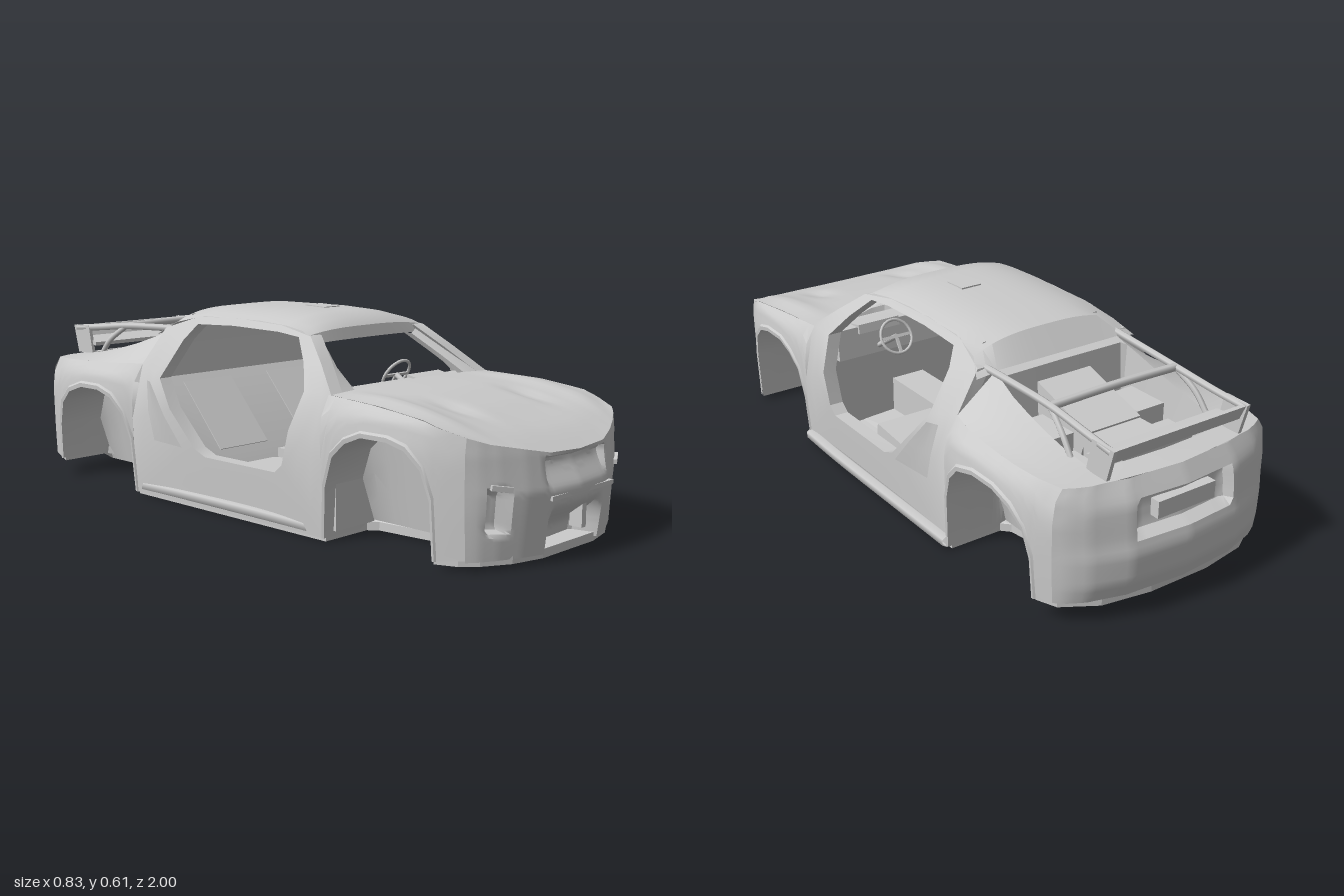
import * as THREE from 'three';
import { toCreasedNormals } from 'three/addons/utils/BufferGeometryUtils.js';

const mat = new THREE.MeshStandardMaterial({ color: 0xcccccc, side: THREE.DoubleSide });
const { lerp, smoothstep } = THREE.MathUtils;

// Linear interpolation in a small table of [key, value] with rising keys
function table(pts, k) {
  if (k <= pts[0][0]) return pts[0][1];
  for (let i = 1; i < pts.length; i++) {
    const [a, va] = pts[i - 1], [b, vb] = pts[i];
    if (k <= b) return lerp(va, vb, (k - a) / (b - a));
  }
  return pts[pts.length - 1][1];
}

// Body rules: half width by z and y, shoulder height by z
const WIDTH = [[-0.88, 0.375], [-0.8, 0.4], [-0.7, 0.414], [-0.5, 0.414], [-0.4, 0.39], [0.4, 0.388], [0.6, 0.4], [0.75, 0.39], [0.8, 0.375], [0.87, 0.345]];
const TUCK = [[0, 0.97], [0.15, 0.99], [0.3, 1], [0.37, 0.975], [0.41, 0.9], [0.56, 0.63], [0.6, 0.56]];
const SHOULDER = [[-0.88, 0.4], [-0.6, 0.41], [-0.42, 0.42], [0.4, 0.41], [0.6, 0.402], [0.75, 0.385], [0.87, 0.35]];
const side = (z, y) => table(WIDTH, z) * table(TUCK, y);
const shoulder = z => table(SHOULDER, z);

// Surface from a rule giving a point for each column i and row j
function grid(nu, nv, fn) {
  const g = new THREE.PlaneGeometry(1, 1, nu, nv), p = g.attributes.position;
  for (let k = 0; k < p.count; k++) p.setXYZ(k, ...fn(k % (nu + 1), Math.floor(k / (nu + 1))));
  return toCreasedNormals(g, 0.55);
}

// Side surface between two matched lines of [z, y]
const strip = (a, b, n, xf = side) => grid(a.length - 1, n, (i, j) => {
  const z = lerp(a[i][0], b[i][0], j / n), y = lerp(a[i][1], b[i][1], j / n);
  return [xf(z, y, j / n), y, z];
});

// Closed frame with thickness between an outer and an inner loop of [z, y]
function ring(outer, inner, depth) {
  const rows = [[0, 0], [0.33, 0], [0.67, 0], [1, 0], [1, depth], [0.5, depth], [0, depth], [0, 0]];
  return grid(outer.length, rows.length - 1, (i, j) => {
    const a = outer[i % outer.length], b = inner[i % inner.length], [s, d] = rows[j];
    const z = lerp(a[0], b[0], s), y = lerp(a[1], b[1], s);
    return [side(z, y) - d, y, z];
  });
}

// Wheel arch lines, front and rear, with the shoulder points above them
const ARCH_F = [[0.79, 0.02], [0.785, 0.18], [0.76, 0.26], [0.71, 0.305], [0.65, 0.32], [0.56, 0.32], [0.5, 0.295], [0.45, 0.25], [0.42, 0.16], [0.41, 0.01]];
const ARCH_R = [[-0.42, 0.01], [-0.43, 0.18], [-0.46, 0.26], [-0.51, 0.31], [-0.58, 0.328], [-0.67, 0.328], [-0.74, 0.305], [-0.79, 0.26], [-0.815, 0.18], [-0.82, 0.06]];
const above = zs => zs.map(z => [z, shoulder(z)]);

// Nose and tail: z by fraction u of the half width, and by height
const noseZ = (u, y) => table([[0, 0.99], [0.36, 0.982], [0.58, 0.958], [0.78, 0.925], [0.92, 0.895], [1, 0.87]], Math.abs(u))
  + table([[0.02, -0.015], [0.2, 0.008], [0.3, -0.005], [0.36, -0.015]], y) * (1 - u ** 4);
const tailZ = (u, y) => table([[0, -0.985], [0.5, -0.97], [0.8, -0.935], [0.93, -0.905], [1, -0.88]], Math.abs(u))
  + table([[0.07, 0.01], [0.12, -0.01], [0.2, -0.015], [0.24, -0.005], [0.34, 0.005], [0.41, 0.045]], y) * (1 - u ** 4);
const noseTop = u => table([[0, 0.293], [0.36, 0.298], [0.85, 0.332], [1, 0.35]], Math.abs(u));

export function createModel() {
  const car = new THREE.Group();
  const add = (name, geo, pos, parent = car) => {
    const m = new THREE.Mesh(geo, mat);
    m.name = name;
    if (pos) m.position.set(...pos);
    parent.add(m);
    return m;
  };
  const box = (name, w, h, d, pos, rx = 0) => {
    const m = add(name, new THREE.BoxGeometry(w, h, d), pos);
    m.rotation.x = rx;
    return m;
  };
  const pair = (name, geo) => {
    add('left' + name, geo);
    const right = add('right' + name, geo);
    right.scale.x = -1;
    return right;
  };
  const tube = (pts, r) => new THREE.TubeGeometry(new THREE.CatmullRomCurve3(pts.map(p => new THREE.Vector3(...p))), 16, r, 6);

  // Fenders around the wheel arches
  pair('FrontFender', strip([[0.87, 0.03], ...ARCH_F], above([0.87, 0.84, 0.8, 0.76, 0.71, 0.65, 0.57, 0.51, 0.47, 0.43, 0.4]), 7));
  pair('RearFender', strip([...ARCH_R, [-0.88, 0.07]], above([-0.42, -0.44, -0.47, -0.52, -0.58, -0.66, -0.73, -0.78, -0.82, -0.85, -0.88]), 7));

  // Wheel wells: lip, roof and an inner wall that leans in towards the floor
  for (const [name, arch] of [['Front', ARCH_F], ['Rear', ARCH_R]]) {
    pair(name + 'WheelWell', grid(arch.length - 1, 2, (i, j) => {
      const [z, y] = arch[i];
      return [lerp(side(z, y), 0.23, j / 2), y, z];
    }));
    pair(name + 'WellWall', strip(arch, arch.map(p => [p[0], 0.03]), 3, (z, y, t) => lerp(0.23, 0.18, t)));
    pair(name + 'ArchLip', grid(arch.length - 1, 2, (i, j) => {
      const [z, y] = arch[i];
      const mz = (arch[0][0] + arch[9][0]) / 2, k = [1.05, 1.03, 0.99][j];
      const z2 = mz + (z - mz) * k, y2 = i % 9 ? y * k : y;
      return [side(z2, y2) + [0, 0.005, 0.002][j], y2, z2];
    }));
  }

  // Cabin sides with the open door
  const outer = [[0.41, 0.41], [0.32, 0.485], [0.235, 0.55], [0.1, 0.572], [-0.1, 0.578], [-0.27, 0.572], [-0.4, 0.53], [-0.42, 0.42],
    [-0.42, 0.25], [-0.42, 0.01], [-0.1, 0.01], [0.1, 0.01], [0.25, 0.01], [0.41, 0.01], [0.41, 0.22]];
  const hole = [[0.305, 0.41], [0.255, 0.48], [0.19, 0.545], [0.1, 0.553], [-0.1, 0.556], [-0.26, 0.55], [-0.29, 0.5], [-0.31, 0.385],
    [-0.24, 0.3], [-0.13, 0.19], [-0.08, 0.17], [0.1, 0.17], [0.22, 0.17], [0.25, 0.195], [0.28, 0.3]];
  pair('DoorFrame', ring(outer, hole, 0.045));
  // Scoop behind the door, open to the front
  pair('SideIntake', strip([[-0.17, 0.19], [-0.25, 0.28], [-0.33, 0.375]], [[-0.32, 0.19], [-0.345, 0.28], [-0.365, 0.375]], 3,
    (z, y, t) => side(z, y) + 0.016 * (1 - t)));
  const sill = tube([[0.375, 0.025, 0.41], [0.39, 0.035, 0.2], [0.39, 0.035, -0.2], [0.385, 0.03, -0.42]], 0.02);
  pair('Sill', sill).position.x = 0.02;

  // Nose with grille, lower intake and lamp recesses
  add('frontBumper', grid(64, 30, (i, j) => {
    const u = i / 32 - 1, y = lerp(0.025, noseTop(u), j / 30), x = u * side(0.87, y), a = Math.abs(x);
    const intake = (1 - smoothstep(a, 0.1, 0.125)) * (1 - smoothstep(y, 0.06, 0.165));
    const grille = (1 - smoothstep(a, 0.125, 0.145)) * smoothstep(y, 0.18, 0.27) * (1 - smoothstep(y, 0.275, 0.29));
    const lamp = smoothstep(a, 0.235, 0.255) * (1 - smoothstep(a, 0.285, 0.3)) * smoothstep(y, 0.09, 0.11) * (1 - smoothstep(y, 0.2, 0.22));
    return [x, y, noseZ(u, y) - 0.08 * intake - 0.03 * grille - 0.03 * lamp];
  }));
  box('grilleLip', 0.29, 0.012, 0.02, [0.015, 0.178, 0.982]);
  box('intakeDivider', 0.02, 0.1, 0.04, [0.07, 0.11, 0.94]);
  for (const s of [-1, 1]) {
    const brow = box('lampBrow', 0.06, 0.014, 0.025, [s * 0.265, 0.218, 0.925]);
    brow.rotation.set(0, s * 0.5, s * 0.15);
  }

  // Hood with raised fenders and two shallow dents
  add('hood', grid(32, 16, (i, j) => {
    const u = i / 16 - 1, t = j / 16, zs = lerp(0.87, 0.4, t), ys = shoulder(zs);
    const x = u * side(zs, ys), z = lerp(noseZ(u, noseTop(u)), 0.41, t);
    const mid = table([[0, 0.293], [0.15, 0.335], [0.45, 0.385], [0.7, 0.41], [1, 0.42]], t);
    const f = (noseTop(u) - 0.293) / 0.057;
    const crest = 0.012 * Math.exp(-(((Math.abs(u) - 0.82) / 0.1) ** 2)) * Math.sin(Math.PI * t);
    const dent = 0.014 * Math.exp(-(((Math.abs(x) - 0.17) / 0.03) ** 2) - ((z - 0.7) / 0.07) ** 2);
    return [x, lerp(mid, ys, lerp(f, u * u, Math.min(1, 3 * t))) + crest - dent, z];
  }));

  // Roof, rows of [z, middle height, edge height]
  const roof = [[0.235, 0.53, 0.525], [0.225, 0.565, 0.55], [0.195, 0.59, 0.562], [0.12, 0.602, 0.572], [0, 0.607, 0.578], [-0.25, 0.604, 0.575], [-0.36, 0.59, 0.55], [-0.42, 0.52, 0.51]];
  add('roof', grid(16, roof.length - 1, (i, j) => {
    const u = i / 8 - 1, [z, yc, ye] = roof[j];
    return [u * side(z, ye), lerp(yc, ye, Math.abs(u) ** 3), z];
  }));
  box('roofScoop', 0.07, 0.008, 0.08, [0.03, 0.605, 0.01], 0.04);
  // Broad windscreen pillars
  const pillarOut = [[0.345, 0.41, 0.41], [0.295, 0.485, 0.32], [0.235, 0.55, 0.235]];
  const pillarIn = [[0.25, 0.405, 0.415], [0.23, 0.465, 0.32], [0.195, 0.525, 0.235]];
  pair('WindscreenPillar', grid(2, 3, (i, j) => pillarOut[i].map((v, k) => lerp(v, pillarIn[i][k], Math.min(j, 2) / 2) - (j === 3 && k === 2 ? 0.03 : 0))));

  // Rear deck with the sunken engine bay
  const us = [-1, -0.9, -0.8, -0.7, -0.63, -0.6, -0.3, 0, 0.3, 0.6, 0.63, 0.7, 0.8, 0.9, 1];
  const ts = [0, 0.05, 0.08, 0.2, 0.35, 0.5, 0.65, 0.78, 0.84, 0.87, 0.94, 1];
  add('rearDeck', grid(us.length - 1, ts.length - 1, (i, j) => {
    const u = us[i], t = ts[j], zs = lerp(-0.42, -0.88, t), ys = shoulder(zs), a = Math.abs(u);
    const bay = a < 0.62 && t > 0.06 && t < 0.86;
    const y = bay ? 0.28 : ys + 0.1 * (1 - t) ** 2 * (1 - Math.max(0, (a - 0.63) / 0.37)) + 0.02 * Math.sin(Math.PI * t) * (1 - a);
    return [u * side(zs, ys), y, lerp(-0.42, tailZ(u, 0.4), t)];
  }));
  box('engineCover', 0.19, 0.13, 0.24, [0, 0.37, -0.54], -0.3);
  box('engineBlock', 0.19, 0.12, 0.16, [0, 0.33, -0.74]);
  for (const s of [-1, 1]) {
    box('engineSideBox', 0.1, 0.1, 0.14, [s * 0.165, 0.34, -0.57]);
    box('airBox', 0.07, 0.07, 0.1, [s * 0.17, 0.32, -0.72]);
  }

  // Tail with plate recess and lower bumper
  add('rearBumper', grid(48, 20, (i, j) => {
    const u = i / 24 - 1, y = lerp(0.07, 0.4, j / 20), x = u * side(-0.88, y);
    const inset = 0.035 * (1 - smoothstep(Math.abs(x), 0.15, 0.17)) * smoothstep(y, 0.235, 0.255) * (1 - smoothstep(y, 0.33, 0.35));
    return [x, y, tailZ(u, y) + inset];
  }));
  box('tailPlate', 0.2, 0.05, 0.03, [0, 0.3, -0.957]);

  // Rear rails, cross bar and wing
  pair('RearRail', tube([[0.235, 0.525, -0.39], [0.228, 0.52, -0.52], [0.222, 0.512, -0.67], [0.225, 0.497, -0.82], [0.23, 0.488, -0.93]], 0.011));
  pair('RailStrut', tube([[0.222, 0.51, -0.67], [0.235, 0.46, -0.74], [0.24, 0.4, -0.79]], 0.009));
  add('crossBar', tube([[-0.222, 0.512, -0.67], [0, 0.516, -0.67], [0.222, 0.512, -0.67]], 0.012));
  const slab = (pts, width, x) => new THREE.ExtrudeGeometry(new THREE.Shape(pts.map(p => new THREE.Vector2(...p))), { depth: width, bevelEnabled: false })
    .rotateY(Math.PI / 2).translate(x, 0, 0);
  add('wing', slab([[0.83, 0.432], [0.92, 0.45], [0.94, 0.495], [0.925, 0.495], [0.905, 0.46], [0.83, 0.444]], 0.46, -0.23));
  pair('WingEndPlate', slab([[0.84, 0.405], [0.92, 0.405], [0.945, 0.498], [0.86, 0.5]], 0.012, 0.225));

  // Floor pan cut out for the wheels, rising at the tail
  const half = [[0.12, 0.96], [0.22, 0.935], [0.3, 0.89], [0.34, 0.85], [0.365, 0.79], [0.2, 0.79], [0.18, 0.76], [0.18, 0.44], [0.2, 0.41], [0.37, 0.41],
    [0.37, -0.42], [0.2, -0.42], [0.18, -0.45], [0.18, -0.79], [0.2, -0.82], [0.375, -0.82], [0.35, -0.88], [0.25, -0.94], [0.1, -0.965]];
  const plan = [...half, ...half.map(([x, z]) => [-x, z]).reverse()].map(p => new THREE.Vector2(...p));
  const pan = new THREE.ExtrudeGeometry(new THREE.Shape(plan), { depth: 0.025, bevelEnabled: false }).rotateX(Math.PI / 2);
  const pp = pan.attributes.position;
  for (let k = 0; k < pp.count; k++) {
    pp.setY(k, pp.getY(k) + 0.025 + table([[-0.82, 0.05], [-0.42, 0], [0.41, 0], [0.79, 0.012]], pp.getZ(k)));
  }
  pan.computeVertexNormals();
  add('floorPan', pan);

  // Cabin interior
  box('firewall', 0.68, 0.37, 0.02, [0, 0.21, 0.41]);
  box('dashboard', 0.62, 0.1, 0.1, [0, 0.35, 0.365], 0.1);
  box('instrumentHood', 0.15, 0.03, 0.09, [0.16, 0.39, 0.355], 0.2);
  box('centreTunnel', 0.12, 0.12, 0.5, [0, 0.09, 0.15]);
  const back = [[-0.05, 0.03], [-0.12, 0.16], [-0.32, 0.385], [-0.33, 0.45], [-0.34, 0.575]];
  add('cabinBulkhead', grid(8, back.length - 1, (i, j) => {
    const [z, y] = back[j];
    return [(i / 4 - 1) * (side(z, y) - 0.03), y, z];
  }));
  for (const s of [-1, 1]) {
    box('seatCushion', 0.2, 0.09, 0.24, [s * 0.18, 0.09, 0.02], -0.1);
    box('seatBack', 0.2, 0.26, 0.03, [s * 0.18, 0.26, -0.225], -0.73);
  }

  // Steering wheel and column
  const steering = new THREE.Group();
  steering.name = 'steeringWheel';
  steering.position.set(0.16, 0.395, 0.205);
  steering.rotation.x = 0.55;
  car.add(steering);
  add('rim', new THREE.TorusGeometry(0.055, 0.005, 6, 24), null, steering);
  for (let k = 0; k < 3; k++) {
    const spoke = add('spoke', new THREE.BoxGeometry(0.055, 0.01, 0.005).translate(0.0275, 0, 0), null, steering);
    spoke.rotation.z = [0, Math.PI, -Math.PI / 2][k];
  }
  add('column', new THREE.CylinderGeometry(0.009, 0.009, 0.14, 8).rotateX(Math.PI / 2), [0, 0, 0.07], steering);

  return car;
}
